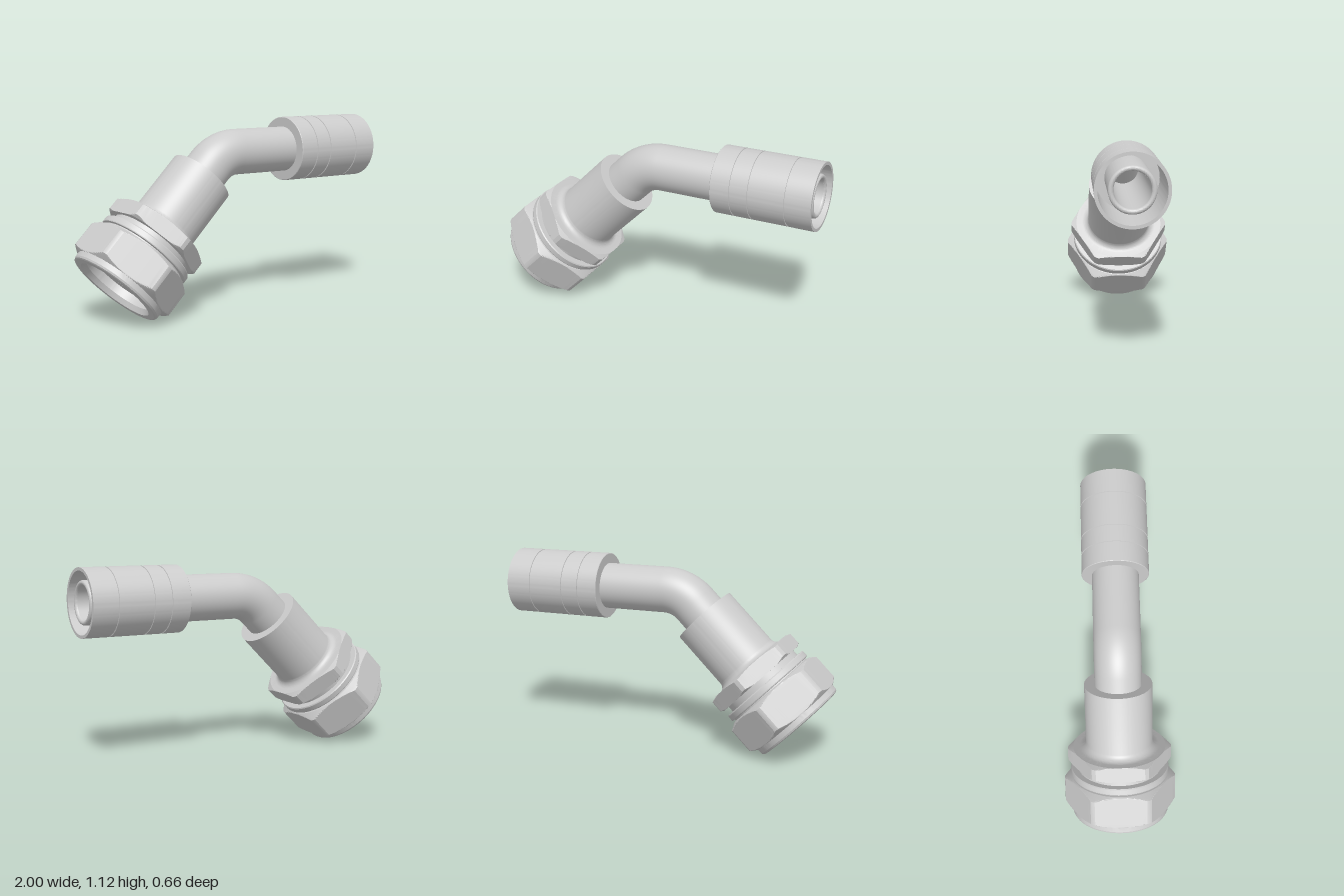
import * as THREE from 'three';
import { toCreasedNormals } from 'three/addons/utils/BufferGeometryUtils.js';

const material = new THREE.MeshStandardMaterial({ color: 0xcccccc });
const innerMaterial = new THREE.MeshStandardMaterial({ color: 0xcccccc, side: THREE.DoubleSide });

// Turned part from [radius, height] points; hexFlat trims it to a hexagon with that inradius.
function turned(name, profile, hexFlat, hexFrom = -Infinity, hexTo = Infinity) {
  const points = profile.map(([r, h]) => new THREE.Vector2(r, h));
  const geometry = new THREE.LatheGeometry(points, 144);
  if (hexFlat) {
    const p = geometry.attributes.position;
    for (let i = 0; i < p.count; i++) {
      const x = p.getX(i), y = p.getY(i), z = p.getZ(i), r = Math.hypot(x, z);
      if (y < hexFrom || y > hexTo) continue;
      const sector = Math.PI / 3;
      const angle = (Math.atan2(x, z) + 2 * Math.PI) % sector - sector / 2;
      const k = Math.min(1, hexFlat / Math.cos(angle) / r);
      p.setXYZ(i, x * k, y, z * k);
    }
  }
  const mesh = new THREE.Mesh(toCreasedNormals(geometry, 0.35), material);
  mesh.name = name;
  return mesh;
}

// Evenly spaced points between two profile points
function ramp(a, b, n = 6) {
  return Array.from({ length: n + 1 }, (_, i) => [
    a[0] + (b[0] - a[0]) * i / n, a[1] + (b[1] - a[1]) * i / n]);
}

export function createModel() {
  const model = new THREE.Group();
  model.name = 'angledHoseFitting';
  const axisY = 0.93, d = Math.SQRT1_2;
  const base = new THREE.Vector3(-0.8, 0.2, 0);

  // Inclined end: swivel nut and body share a 45 degree axis
  const inclined = new THREE.Group();
  inclined.name = 'inclinedEnd';
  inclined.position.copy(base);
  inclined.rotation.z = -Math.PI / 4;
  model.add(inclined);

  inclined.add(turned('swivelNut', [
    [0.215, 0.3], [0.215, 0.03], [0.235, 0], [0.272, 0], [0.281, 0.004], [0.286, 0.014], [0.287, 0.045],
    ...ramp([0.29, 0.045], [0.33, 0.07]),
    ...ramp([0.33, 0.225], [0.284, 0.253]),
    [0.272, 0.255], [0.272, 0.263], [0.287, 0.265], [0.289, 0.27], [0.289, 0.3], [0.284, 0.306], [0.215, 0.306],
  ], 0.291, 0.04, 0.254));

  // Body with conical seat, hexagon, fillet and long collar
  const fillet = Array.from({ length: 9 }, (_, i) => {
    const a = i / 8 * Math.PI / 2;
    return [0.236 - 0.04 * Math.sin(a), 0.476 - 0.04 * Math.cos(a)];
  });
  inclined.add(turned('bodyAndCollar', [
    [0.097, 0.2], [0.165, 0.08], [0.214, 0.08], [0.214, 0.3], [0.25, 0.3], [0.25, 0.342],
    ...ramp([0.285, 0.342], [0.304, 0.354], 4),
    ...ramp([0.304, 0.424], [0.272, 0.436]),
    ...fillet,
    [0.196, 0.838], [0.13, 0.838],
  ], 0.27, 0.341, 0.437));

  // Bent tube: straight, 45 degree arc, straight
  const bendRadius = 0.26;
  const corner = new THREE.Vector3(base.x + axisY - base.y, axisY, 0);
  const along = new THREE.Vector3(d, d, 0), flat = new THREE.Vector3(1, 0, 0);
  const tangent = bendRadius * Math.tan(Math.PI / 8);
  const handle = 4 / 3 * Math.tan(Math.PI / 16) * bendRadius;
  const bendStart = corner.clone().addScaledVector(along, -tangent);
  const bendEnd = corner.clone().addScaledVector(flat, tangent);
  function bentTube(name, radius, startDistance, endX, mat) {
    const path = new THREE.CurvePath();
    path.add(new THREE.LineCurve3(base.clone().addScaledVector(along, startDistance), bendStart));
    path.add(new THREE.CubicBezierCurve3(bendStart,
      bendStart.clone().addScaledVector(along, handle),
      bendEnd.clone().addScaledVector(flat, -handle), bendEnd));
    path.add(new THREE.LineCurve3(bendEnd, new THREE.Vector3(endX, axisY, 0)));
    const mesh = new THREE.Mesh(new THREE.TubeGeometry(path, 120, radius, 64), mat);
    mesh.name = name;
    model.add(mesh);
  }
  bentTube('bentTube', 0.136, 0.8, 0.46, material);
  bentTube('bore', 0.097, 0.2, 0.975, innerMaterial);

  // Horizontal end: crimp sleeve around the hose tail
  const horizontal = new THREE.Group();
  horizontal.name = 'hoseEnd';
  horizontal.position.y = axisY;
  horizontal.rotation.z = -Math.PI / 2;
  model.add(horizontal);

  const grooves = [0.53, 0.637, 0.85].flatMap((h) => [
    [0.196, h - 0.004], [0.191, h - 0.003], [0.191, h + 0.003], [0.196, h + 0.004]]);
  horizontal.add(turned('crimpSleeve', [
    [0.13, 0.41], [0.193, 0.41], [0.196, 0.413], ...grooves,
    [0.196, 1], [0.178, 1], [0.178, 0.5], [0.115, 0.5],
  ]));

  // Hose tail with rounded lip
  const lip = Array.from({ length: 13 }, (_, i) => {
    const a = i / 12 * Math.PI;
    return [0.111 + 0.014 * Math.cos(a), 0.975 + 0.014 * Math.sin(a)];
  });
  horizontal.add(turned('hoseTail', [[0.125, 0.48], ...lip]));

  return model;
}
